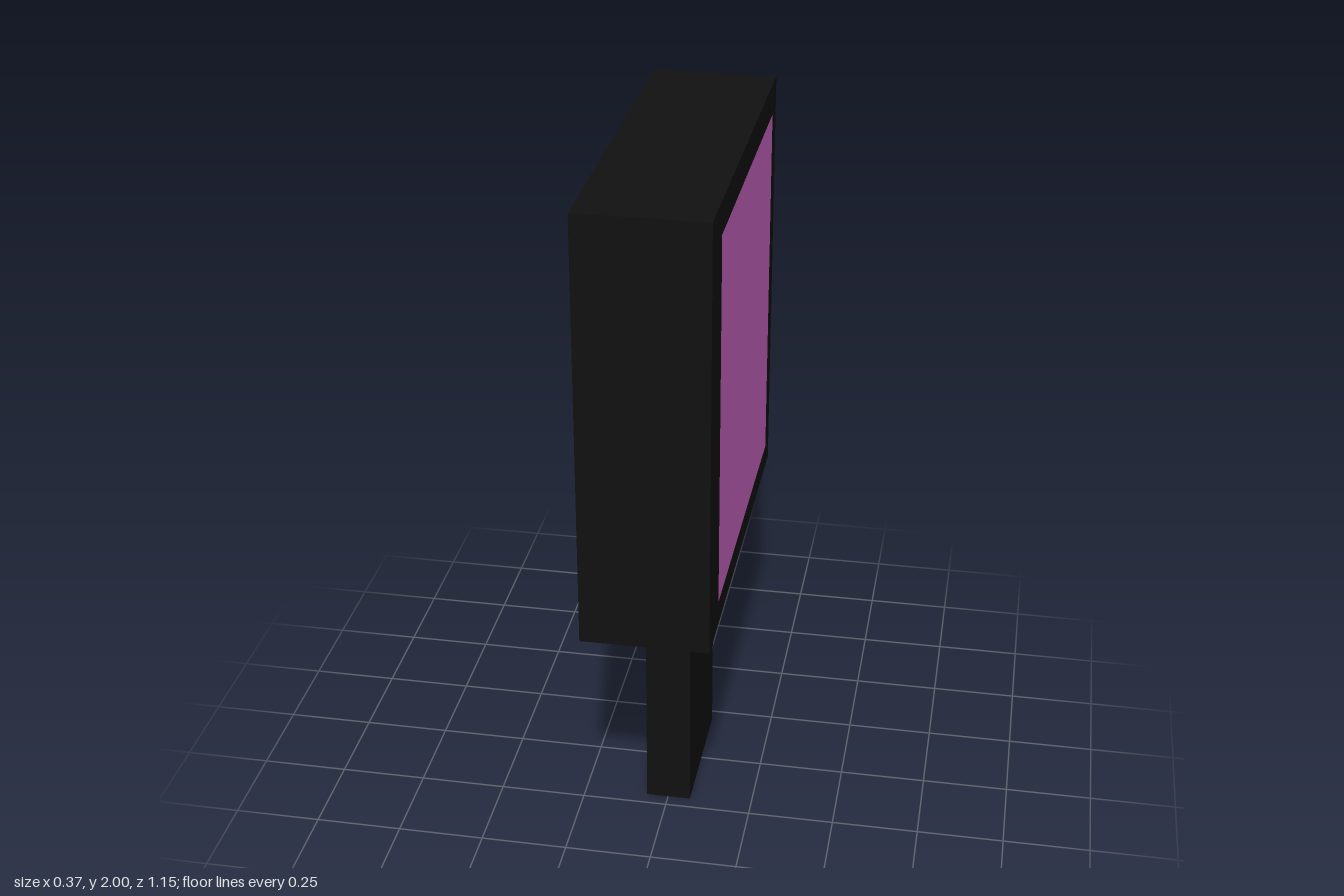
import * as THREE from 'three';

const black = new THREE.MeshStandardMaterial({ color: 0x111111, flatShading: true });
const pink = new THREE.MeshStandardMaterial({ color: 0xcc66c4 });

// Block between two levels; each end is [xMin, xMax, zMin, zMax]
function block(name, y0, y1, bottom, top = bottom) {
  const geometry = new THREE.BoxGeometry(1, 1, 1);
  const p = geometry.attributes.position;
  for (let i = 0; i < p.count; i++) {
    const end = p.getY(i) > 0 ? top : bottom;
    p.setXYZ(i, end[p.getX(i) > 0 ? 1 : 0], p.getY(i) > 0 ? y1 : y0, end[p.getZ(i) > 0 ? 3 : 2]);
  }
  geometry.computeVertexNormals();
  const mesh = new THREE.Mesh(geometry, black);
  mesh.name = name;
  return mesh;
}

export function createModel() {
  const group = new THREE.Group();
  group.name = 'paddleSign';
  const stem = [-0.064, 0.066, -0.208, 0.21];

  // Handle, flared neck and head
  group.add(block('handle', 0, 0.595, stem));
  group.add(block('neck', 0.595, 0.77, stem, [-0.175, 0.18, -0.574, 0.574]));
  group.add(block('head', 0.77, 2, [-0.175, 0.18, -0.561, 0.574]));

  // Thin coloured panel floating just off each broad side
  for (const side of [1, -1]) {
    const panel = new THREE.Mesh(new THREE.PlaneGeometry(0.912, 1.06), pink);
    panel.name = side > 0 ? 'leftPanel' : 'rightPanel';
    panel.rotation.y = side * Math.PI / 2;
    panel.position.set(side * 0.186, 1.395, 0.008);
    group.add(panel);
  }
  return group;
}
